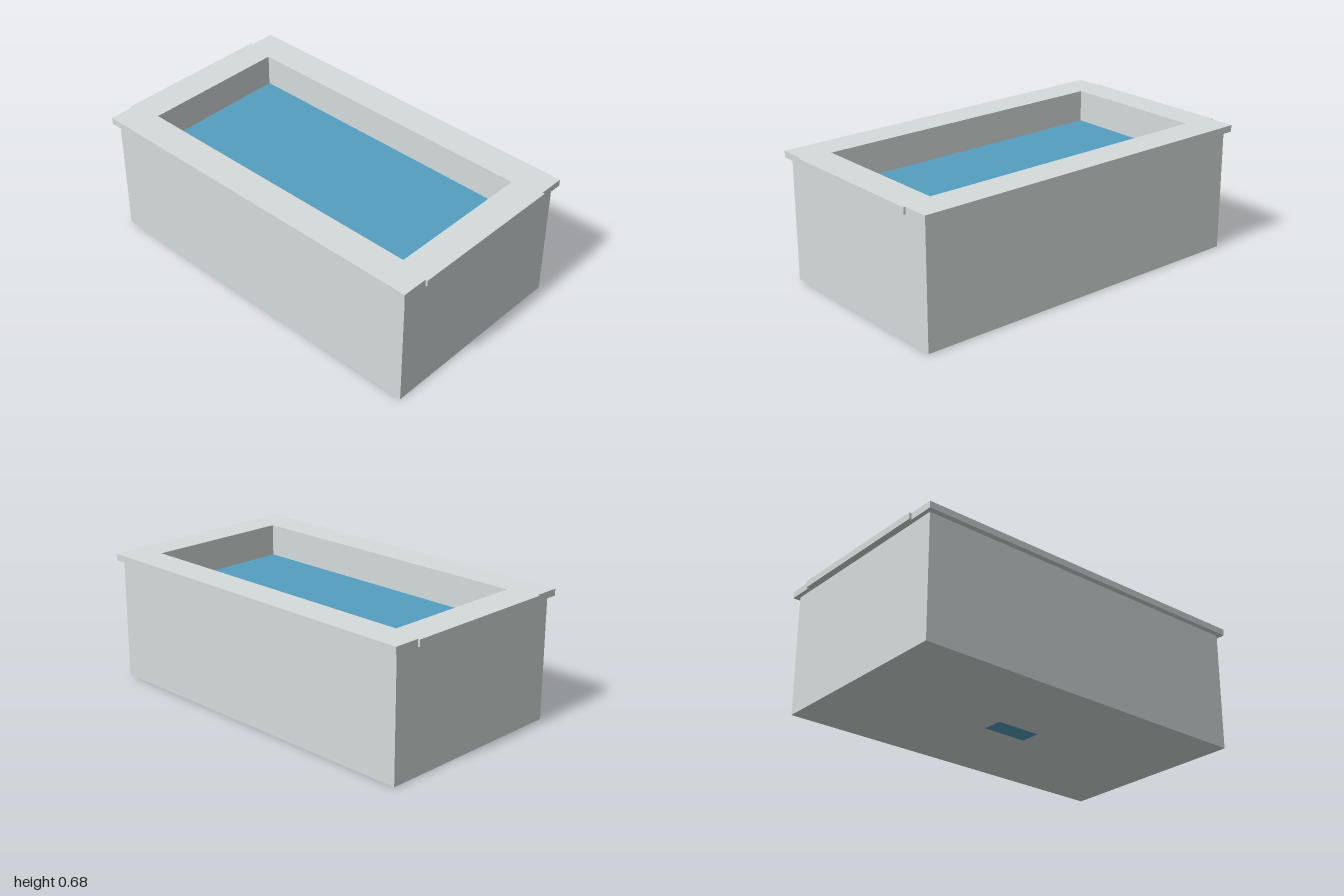
import * as THREE from 'three';

const stone = new THREE.MeshStandardMaterial({ color: 0xd5dcdb });
stone.name = 'pale stone';
const blue = new THREE.MeshStandardMaterial({ color: 0x559fc1 });
blue.name = 'water blue';

const OPEN_X = 0.83, OPEN_Z = 0.4; // half size of the basin opening
const BODY_TOP = 0.647, RIM_TOP = 0.682, WATER_TOP = 0.51, BASE = 0.0006;

function rect(x, z) {
  return [[-x, -z], [x, -z], [x, z], [-x, z]];
}

const toPoints = (list) => list.map(([x, z]) => new THREE.Vector2(x, z));

// Upright ring: an outline in x/z with a rectangular opening cut out
function ring(name, outline, openX, openZ, y0, y1) {
  const shape = new THREE.Shape(toPoints(outline));
  shape.holes.push(new THREE.Path(toPoints(rect(openX, openZ).reverse())));
  const geo = new THREE.ExtrudeGeometry(shape, { depth: y1 - y0, bevelEnabled: false });
  geo.rotateX(-Math.PI / 2).translate(0, y0, 0);
  const mesh = new THREE.Mesh(geo, stone);
  mesh.name = name;
  return mesh;
}

function slab(name, w, d, y0, y1, material, x = 0) {
  const mesh = new THREE.Mesh(new THREE.BoxGeometry(w, y1 - y0, d), material);
  mesh.position.set(x, (y0 + y1) / 2, 0);
  mesh.name = name;
  return mesh;
}

export function createModel() {
  const group = new THREE.Group();
  group.name = 'waterBasin';

  // Basin walls and floor
  group.add(ring('walls', rect(0.965, 0.54), OPEN_X + 0.002, OPEN_Z, BASE, BODY_TOP));
  group.add(slab('floor', OPEN_X * 2 + 0.004, OPEN_Z * 2, BASE, 0.1, stone));

  // Overhanging coping, with the end stones stepping out slightly
  group.add(ring('coping', [
    [-0.988, -0.57], [0.988, -0.57], [0.988, -0.43], [1, -0.43], [1, 0.43], [0.988, 0.43],
    [0.988, 0.57], [-0.988, 0.57], [-0.988, 0.43], [-1, 0.43], [-1, -0.43], [-0.988, -0.43],
  ], OPEN_X, OPEN_Z - 0.003, BODY_TOP, RIM_TOP));

  // Water and the small outlet plate underneath
  group.add(slab('water', OPEN_X * 2 + 0.004, OPEN_Z * 2, 0.1, WATER_TOP, blue));
  group.add(slab('outletPlate', 0.25, 0.11, 0, 0.004, blue, -0.02));

  return group;
}
